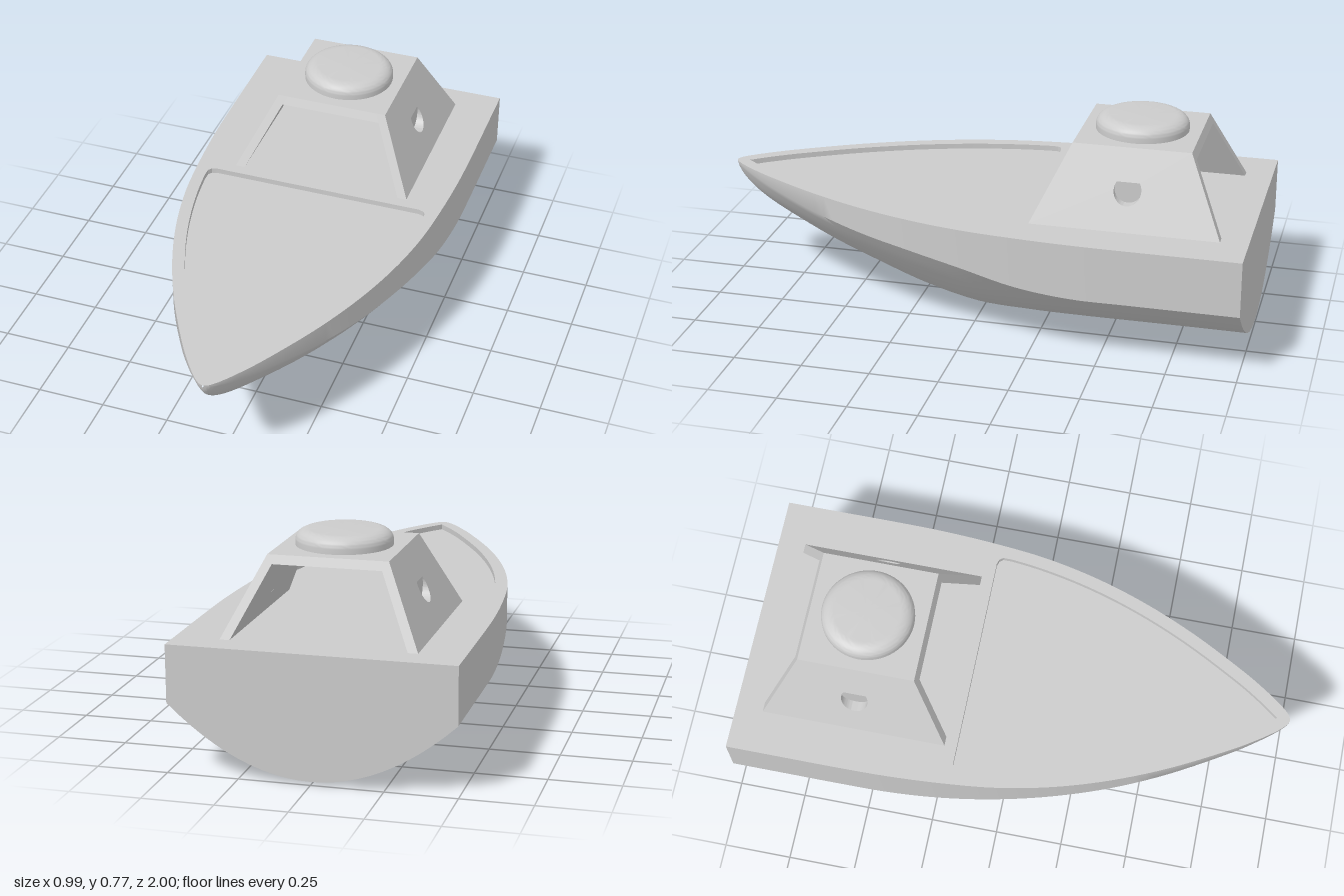
import * as THREE from 'three';
import { toCreasedNormals } from 'three/addons/utils/BufferGeometryUtils.js';

const DECK = 0.45, RECESS = 0.02, RIM = 0.045;
const material = new THREE.MeshStandardMaterial({ color: 0xcccccc });
const thin = new THREE.MeshStandardMaterial({ color: 0xcccccc, side: THREE.DoubleSide });

// Hull stations from stern to bow: z, half width, chine height, keel height
const STATIONS = [
  [-1, 0.497, 0.247, 0.013], [-0.8, 0.497, 0.247, 0.013], [-0.6, 0.497, 0.247, 0.012],
  [-0.4, 0.494, 0.247, 0.01], [-0.2, 0.482, 0.265, 0.004], [0, 0.46, 0.305, 0.004],
  [0.2, 0.417, 0.333, 0.045], [0.4, 0.352, 0.352, 0.112], [0.6, 0.265, 0.376, 0.183],
  [0.8, 0.157, 0.407, 0.27], [0.9, 0.094, 0.426, 0.325], [0.96, 0.05, 0.438, 0.375],
  [0.99, 0.022, 0.445, 0.415], [1, 0.003, 0.449, 0.44],
];

function mesh(name, geometry, mat = material) {
  const m = new THREE.Mesh(geometry, mat);
  m.name = name;
  return m;
}

// Skin over rows of equally many points
function loft(rows) {
  const n = rows[0].length, index = [];
  for (let i = 0; i < rows.length - 1; i++) {
    for (let j = 0; j < n - 1; j++) {
      const a = i * n + j, c = a + n;
      index.push(a, c, a + 1, a + 1, c, c + 1);
    }
  }
  const g = new THREE.BufferGeometry().setFromPoints(rows.flat());
  g.setIndex(index);
  g.computeVertexNormals();
  return g;
}

function smoothStations() {
  const curve = (k) => new THREE.CatmullRomCurve3(
    STATIONS.map((s) => new THREE.Vector3(s[0], s[k], s[3])), false, 'catmullrom');
  const widths = curve(1).getPoints(65), chines = curve(2).getPoints(65);
  return widths.map((p, i) => ({ z: p.x, w: p.y, chine: chines[i].y, keel: p.z }));
}

// Section: vertical topside, rounded bottom, vertical topside
function section({ z, w, chine, keel }) {
  const pts = [new THREE.Vector3(w, DECK, z)];
  const power = 2 - 0.2 * Math.max(0, z);
  for (let j = 0; j <= 24; j++) {
    const t = 1 - j / 12;
    pts.push(new THREE.Vector3(w * t, keel + (chine - keel) * Math.abs(t) ** power, z));
  }
  pts.push(new THREE.Vector3(-w, DECK, z));
  return pts;
}

// Closed outline, mirrored across x = 0, from the points of its +x half
const mirrored = (half) => [...half,
  ...half.slice().reverse().filter((p) => p.x > 1e-4).map((p) => new THREE.Vector2(-p.x, p.y))];

const flat = (shape, y) => new THREE.ShapeGeometry(shape).rotateX(-Math.PI / 2).translate(0, y, 0);

function makeHull() {
  const group = new THREE.Group();
  group.name = 'hull';
  const stations = smoothStations();
  const rows = stations.map(section);
  group.add(mesh('hullShell', toCreasedNormals(loft(rows), 0.6)));

  // Flat stern
  const stern = new THREE.Shape(rows[0].map((p) => new THREE.Vector2(p.x, p.y)));
  group.add(mesh('transom', new THREE.ShapeGeometry(stern).rotateY(Math.PI).translate(0, 0, -1)));

  // Recess outline: the sheer line moved inward, with rounded rear corners
  const edge = stations.map((s) => new THREE.Vector2(s.w, -s.z));
  const inset = [new THREE.Vector2(0, 0.175), new THREE.Vector2(0.4, 0.175),
    new THREE.Vector2(0.42, 0.169), new THREE.Vector2(0.43, 0.155)];
  for (let i = 1; i < edge.length - 1; i++) {
    const d = edge[i + 1].clone().sub(edge[i - 1]).normalize();
    const p = new THREE.Vector2(edge[i].x + d.y * RIM, edge[i].y - d.x * RIM);
    if (p.y < 0.13 && p.x > 0.004 && p.y > -0.95) inset.push(p);
  }
  inset.push(new THREE.Vector2(0, -0.952));
  const outline = mirrored(inset);

  const deck = new THREE.Shape(mirrored(edge));
  deck.holes.push(new THREE.Path(outline));
  group.add(mesh('deck', flat(deck, DECK)));
  group.add(mesh('foredeckPanel', flat(new THREE.Shape(outline), DECK - RECESS)));
  const ring = (y) => [...outline, outline[0]].map((p) => new THREE.Vector3(p.x, y, -p.y));
  group.add(mesh('foredeckRim', toCreasedNormals(loft([ring(DECK), ring(DECK - RECESS)]), 0.5), thin));
  return group;
}

// Cabin wall faces as x at height y
const ROOF = 0.72, CEILING = 0.69;
const outerX = (y) => 0.34 - 0.13 * (y - DECK) / (ROOF - DECK);
const innerX = (y) => 0.305 - 0.115 * (y - DECK) / (CEILING - DECK);
const halfZ = (y) => 0.34 - 0.1275 * (y - DECK) / (ROOF - DECK);
const PORT_TOP = 0.61;

// Extrude a side-on shape along x between two surfaces
function sidePiece(shape, from, to) {
  const g = new THREE.ExtrudeGeometry(shape, { depth: 1, bevelEnabled: false, curveSegments: 32 });
  g.rotateY(Math.PI / 2);
  const p = g.attributes.position;
  for (let i = 0; i < p.count; i++) {
    p.setX(i, THREE.MathUtils.lerp(from(p.getY(i)), to(p.getY(i)), p.getX(i)));
  }
  return toCreasedNormals(g, 0.5);
}

function makeCabin() {
  const cabin = new THREE.Group();
  cabin.name = 'cabin';
  cabin.position.z = -0.56;

  // Side walls with a blind porthole whose floor is upright
  const b = halfZ(DECK), t = halfZ(ROOF);
  const wall = new THREE.Shape([[-b, DECK], [b, DECK], [t, ROOF], [-t, ROOF]]
    .map(([z, y]) => new THREE.Vector2(z, y)));
  const portY = 0.583, r = 0.049, a = Math.asin((PORT_TOP - portY) / r);
  const port = new THREE.Shape().absarc(0, portY, r, Math.PI - a, 2 * Math.PI + a, false);
  wall.holes.push(port);
  const wallGeometry = sidePiece(wall, innerX, outerX);
  const floorGeometry = sidePiece(port, innerX, () => outerX(PORT_TOP));
  for (const side of ['left', 'right']) {
    const g = new THREE.Group();
    g.name = side + 'Wall';
    g.rotation.y = side === 'left' ? 0 : Math.PI;
    g.add(mesh('wallPanel', wallGeometry), mesh('portholeFloor', floorGeometry));
    cabin.add(g);
  }

  // Roof slab between the walls, ends following the cabin taper
  const slab = new THREE.Shape([[-1, CEILING], [1, CEILING], [1, ROOF], [-1, ROOF]]
    .map(([s, y]) => new THREE.Vector2(s * innerX(y), y)));
  const roof = new THREE.ExtrudeGeometry(slab, { depth: 2, bevelEnabled: false }).translate(0, 0, -1);
  const p = roof.attributes.position;
  for (let i = 0; i < p.count; i++) p.setZ(i, p.getZ(i) * halfZ(p.getY(i)));
  roof.computeVertexNormals();
  cabin.add(mesh('roof', roof));

  // Low round hatch with a rolled shoulder
  const profile = [new THREE.Vector2(0.168, ROOF)];
  for (let i = 0; i <= 10; i++) {
    const k = (i / 10) * Math.PI / 2;
    profile.push(new THREE.Vector2(0.12 + 0.048 * Math.cos(k), 0.738 + 0.037 * Math.sin(k)));
  }
  profile.push(new THREE.Vector2(0, 0.775));
  cabin.add(mesh('roofHatch', toCreasedNormals(new THREE.LatheGeometry(profile, 64), 0.5)));
  return cabin;
}

export function createModel() {
  const boat = new THREE.Group();
  boat.name = 'boat';
  boat.add(makeHull(), makeCabin());
  return boat;
}
